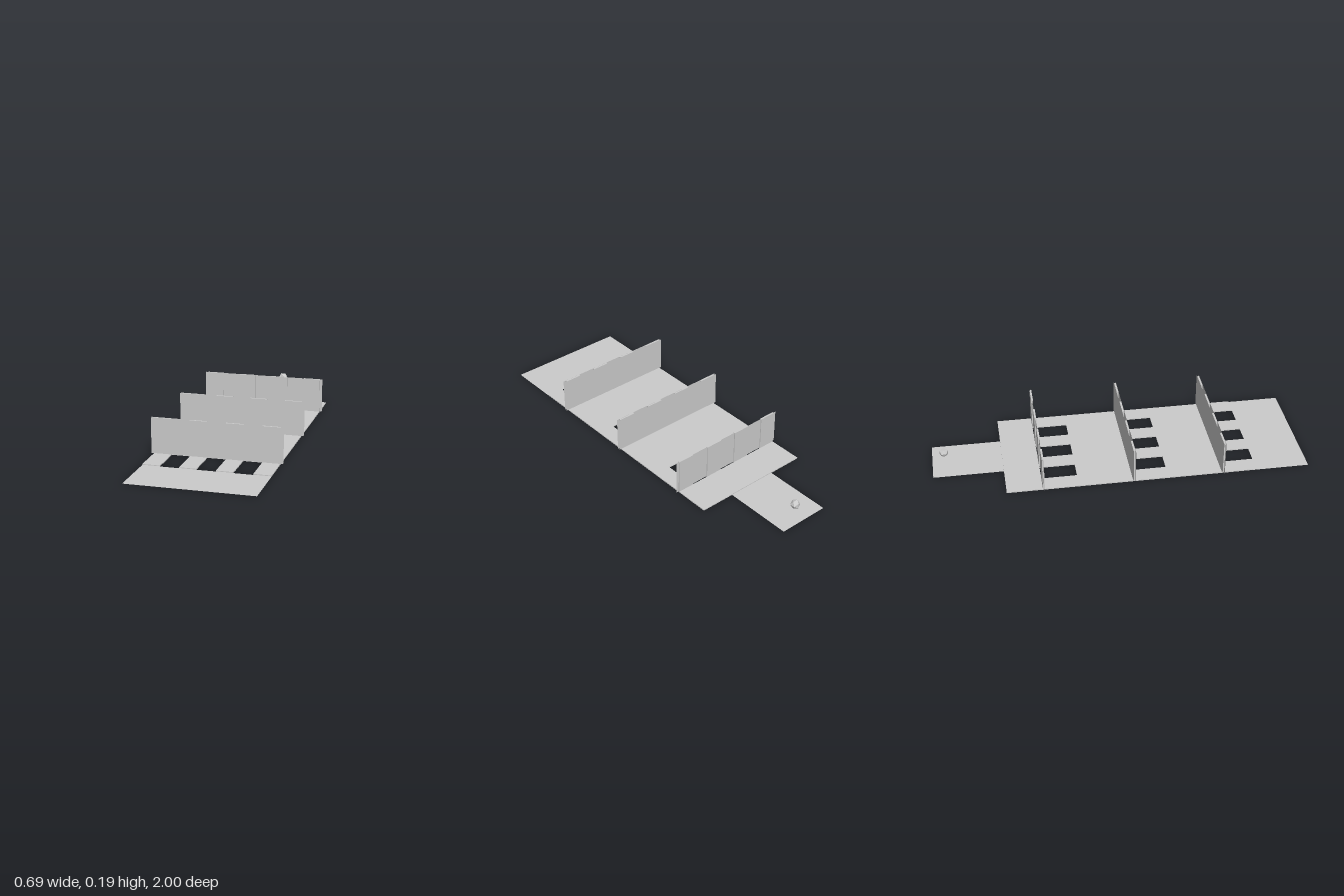
import * as THREE from 'three';

const grey = new THREE.MeshStandardMaterial({ color: 0xcccccc, flatShading: true, side: THREE.DoubleSide });
const HALF = 0.333;                    // half width of the floor
const WALL_Z = [0.53, 0.05, -0.43];    // front to back
const SLOT_X = [-0.19, 0, 0.19];       // slot centres
const STRIP_X = [-0.286, -0.095, 0.095, 0.286];
const SLOT_W = 0.1, SLOT_L = 0.19, THICK = 0.005, HEIGHT = 0.19;

function polygon(points, Type = THREE.Shape) {
  return new Type(points.map(([x, z]) => new THREE.Vector2(x, -z)));
}

function slot(x, z) {
  const w = SLOT_W / 2;
  return polygon([[x - w, z], [x + w, z], [x + w, z + SLOT_L], [x - w, z + SLOT_L]], THREE.Path);
}

export function createModel() {
  const group = new THREE.Group();
  const add = (name, geometry, x = 0, y = 0, z = 0) => {
    const mesh = new THREE.Mesh(geometry, grey);
    mesh.name = name;
    mesh.position.set(x, y, z);
    group.add(mesh);
    return mesh;
  };

  // Thin floor sheet with a narrow rear landing and three rows of slots
  const floor = polygon([
    [-HALF, 1], [HALF, 1], [HALF, -0.625], [0.14, -0.625],
    [0.14, -1], [-0.14, -1], [-0.14, -0.625], [-HALF, -0.625],
  ]);
  for (const z of WALL_Z) for (const x of SLOT_X) floor.holes.push(slot(x, z - 0.004));
  add('floor', new THREE.ShapeGeometry(floor).rotateX(-Math.PI / 2));

  // Raised slab: its front edge is a comb, open at the first row of slots
  const front = WALL_Z[0] + SLOT_L - 0.004, w = SLOT_W / 2;
  const outline = [[-HALF, -0.625], [-HALF, front]];
  for (const x of SLOT_X) {
    outline.push([x - w, front], [x - w, WALL_Z[0] - 0.004], [x + w, WALL_Z[0] - 0.004], [x + w, front]);
  }
  outline.push([HALF, front], [HALF, -0.625]);
  const slab = polygon(outline);
  for (const z of WALL_Z.slice(1)) for (const x of SLOT_X) slab.holes.push(slot(x, z - 0.004));
  const slabGeometry = new THREE.ExtrudeGeometry(slab, { depth: THICK - 0.001, bevelEnabled: false });
  add('raisedSlab', slabGeometry.rotateX(-Math.PI / 2), 0, 0.001, 0);

  // Upright dividers: slats on each wall line, faced with thin sheets
  const y = THICK + HEIGHT / 2;
  WALL_Z.forEach((z, i) => {
    for (const x of STRIP_X) add('wallSlat', new THREE.BoxGeometry(0.094, HEIGHT, 0.01), x, y, z);
    const sheets = i === 2 ? [0] : [-0.006, 0.006];   // the rear wall shows its slats
    for (const dz of sheets) add('wallSheet', new THREE.PlaneGeometry(0.694, HEIGHT), 0, y, z + dz);
  });

  // Small faceted ball above the landing
  add('ball', new THREE.IcosahedronGeometry(0.026, 0), 0, 0.06, -0.935);

  return group;
}
